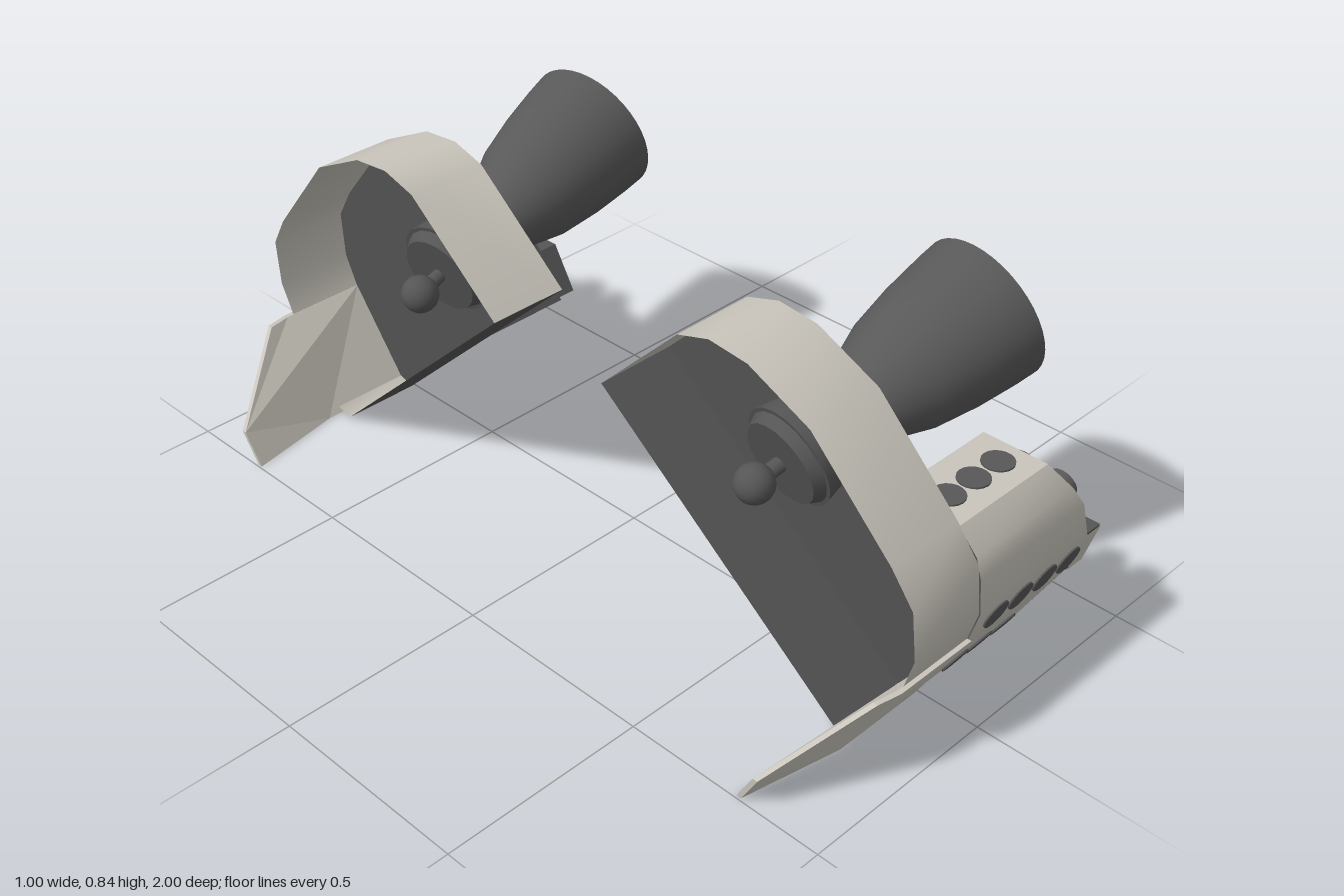
import * as THREE from 'three';
import { toCreasedNormals } from 'three/addons/utils/BufferGeometryUtils.js';

const mat = (name, color) => new THREE.MeshStandardMaterial({ name, color, side: THREE.DoubleSide });
const V = (x, y, z) => new THREE.Vector3(x, y, z);

// Surface stretched between two rows of points
function strip(a, b, crease = 0.9) {
  const pos = [], idx = [], n = a.length;
  [...a, ...b].forEach(p => pos.push(p.x, p.y, p.z));
  for (let i = 0; i < n - 1; i++) idx.push(i, i + 1, n + i, i + 1, n + i + 1, n + i);
  const g = new THREE.BufferGeometry();
  g.setAttribute('position', new THREE.Float32BufferAttribute(pos, 3));
  g.setIndex(idx);
  g.computeVertexNormals();
  return toCreasedNormals(g, crease);
}

// Shape drawn in (z, y), turned to face +x
const sideShape = pts => new THREE.Shape(pts.map(([z, y]) => new THREE.Vector2(-z, y)));

// Raked planes of the body: front rim and bulkhead
const rimX = y => -0.211 - 0.086 * y;
const bulkX = y => -0.01 - 0.086 * y;

function buildPod(light, dark, nozzleGrey) {
  const pod = new THREE.Group();
  const add = (name, geo, material) => {
    const m = new THREE.Mesh(geo, material);
    m.name = name;
    pod.add(m);
    return m;
  };
  // Cylinder placed by centre and axis
  const drum = (name, r0, r1, len, c, dir, material, sides = 20) => {
    const m = add(name, new THREE.CylinderGeometry(r1, r0, len, sides), material);
    m.position.copy(c);
    m.quaternion.setFromUnitVectors(V(0, 1, 0), dir.clone().normalize());
    return m;
  };

  // Outer shell, open toward -x
  const outline = [[0.166, 0.578], [0.40, 0.81], [0.485, 0.838], [0.585, 0.828], [0.74, 0.75],
    [0.937, 0.525], [0.99, 0.444], [0.997, 0.32], [0.967, 0.225], [0.846, 0.016], [0.80, 0]];
  add('shell', strip(outline.map(([z, y]) => V(rimX(y), y, z)),
    outline.map(([z, y]) => V(bulkX(y), y, z))), light);

  // Bulkhead and sloping mounting panel
  const wall = new THREE.ShapeGeometry(sideShape(outline)).rotateY(Math.PI / 2);
  const p = wall.attributes.position;
  for (let i = 0; i < p.count; i++) p.setX(i, bulkX(p.getY(i)));
  wall.computeVertexNormals();
  add('bulkhead', wall, dark);
  const mount = [outline[outline.length - 1], outline[0]];
  add('mountingPanel', strip(mount.map(([z, y]) => V(rimX(y), y, z)),
    mount.map(([z, y]) => V(bulkX(y), y, z))), dark);

  // Swept lower fin, a thin plate leaning inward toward its tip
  const fin = new THREE.Shape([[-0.5, 0.08], [-0.495, 0], [-0.25, 0], [-0.01, 0], [-0.03, 0.238],
    [-0.25, 0.238], [-0.308, 0.238]].map(([x, y]) => new THREE.Vector2(x, y)));
  const finGeo = new THREE.ExtrudeGeometry(fin, { depth: 0.012, bevelEnabled: false });
  const f = finGeo.attributes.position;
  for (let i = 0; i < f.count; i++) {
    const bend = Math.max(0, -f.getX(i) - 0.25) / 0.25;
    f.setZ(i, f.getZ(i) + 0.832 + 0.58 * f.getY(i) - 0.05 * bend);
  }
  finGeo.computeVertexNormals();
  add('fin', finGeo, light);

  // Thruster housing: [z, y, end x]
  const skin = [[0.78, 0.515, 0.235], [0.94, 0.515, 0.235], [0.985, 0.46, 0.27], [0.997, 0.41, 0.30],
    [1.0, 0.32, 0.325], [0.97, 0.225, 0.325], [0.86, 0.03, 0.322]];
  const inner = [[0.86, 0.03, 0.322], [0.82, 0.03, 0.322], [0.59, 0.205, 0.325],
    [0.662, 0.32, 0.325], [0.717, 0.41, 0.30], [0.78, 0.515, 0.235]];
  const prism = (pts, crease) => strip(pts.map(([z, y]) => V(bulkX(y), y, z)),
    pts.map(([z, y, x]) => V(x, y, z)), crease);
  add('housingSkin', prism(skin, 0.75), light);
  add('housingInnerSide', prism(inner, 0.4), dark);

  // Housing end: [y, x, inner z, outer z]
  const end = [[0.515, 0.235, 0.78, 0.94], [0.41, 0.30, 0.717, 0.997], [0.32, 0.325, 0.662, 1.0],
    [0.21, 0.325, 0.6, 0.962], [0.03, 0.322, 0.82, 0.86]];
  add('housingEnd', strip(end.map(([y, x, , o]) => V(x, y, o)),
    end.map(([y, x, i]) => V(x, y, i)), 0.3), dark);

  // Ledge across the housing end, with its light outer face
  const ledge = new THREE.ExtrudeGeometry(
    sideShape([[0.662, 0.32], [0.997, 0.32], [0.963, 0.21], [0.597, 0.21]]),
    { depth: 0.055, bevelEnabled: false }).rotateY(Math.PI / 2).translate(0.32, 0, 0);
  add('endLedge', ledge, dark);
  add('ledgeSkin', strip([V(0.32, 0.32, 1.0), V(0.32, 0.21, 0.966)],
    [V(0.375, 0.32, 1.0), V(0.375, 0.21, 0.966)]), light);

  // Thruster ports: rows on the top, side and lower faces
  const ports = [
    [[0.01, 0.09, 0.17], 0.515, 0.865, V(0, 1, 0)],
    [[0.042, 0.124, 0.206, 0.288], 0.267, 0.983, V(0, -0.3, 0.954)],
    [[0.075, 0.157, 0.24], 0.06, 0.877, V(0, -0.49, 0.87)],
  ];
  for (const [xs, y, z, dir] of ports)
    for (const x of xs) drum('thrusterPort', 0.036, 0.036, 0.008, V(x, y, z), dir, nozzleGrey, 18);

  // Two small end thrusters
  for (const z of [0.805, 0.90])
    drum('endThruster', 0.034, 0.036, 0.09, V(0.325, 0.37, z), V(1, 0.26, 0), nozzleGrey, 16);

  // Main engine bell, its collar and the gimbal behind the bulkhead
  const axis = V(0.955, 0.27, 0.12).normalize();
  const exit = V(0.452, 0.643, 0.603);
  const at = s => exit.clone().addScaledVector(axis, s);
  const profile = [[0.028, -0.475], [0.042, -0.46], [0.07, -0.42], [0.103, -0.35], [0.137, -0.26],
    [0.158, -0.15], [0.17, -0.05], [0.174, 0], [0.168, 0], [0.164, -0.05], [0.152, -0.15],
    [0.131, -0.26], [0.097, -0.35], [0.064, -0.42], [0.03, -0.46], [0, -0.46]]
    .map(([r, s]) => new THREE.Vector2(r, s));
  const bell = add('engineBell', toCreasedNormals(new THREE.LatheGeometry(profile, 40), 0.8), nozzleGrey);
  bell.position.copy(exit);
  bell.quaternion.setFromUnitVectors(V(0, 1, 0), axis);
  drum('engineCollar', 0.122, 0.10, 0.11, at(-0.51), axis, dark);
  drum('engineThroat', 0.06, 0.045, 0.05, at(-0.455), axis, dark);
  drum('gimbalPlate', 0.10, 0.115, 0.03, at(-0.575), axis, dark);
  drum('gimbalRod', 0.018, 0.018, 0.09, at(-0.62), axis, dark, 10);
  add('gimbalBall', new THREE.SphereGeometry(0.045, 18, 12), dark).position.copy(at(-0.66));
  return pod;
}

export function createModel() {
  const light = mat('warm white skin', 0xc9c5bc);
  const dark = mat('dark grey structure', 0x555555);
  const nozzleGrey = mat('nozzle grey', 0x585858);
  const model = new THREE.Group();
  model.name = 'enginePods';
  // Mirrored pair
  for (const side of [1, -1]) {
    const pod = buildPod(light, dark, nozzleGrey);
    pod.name = side > 0 ? 'frontPod' : 'rearPod';
    pod.scale.z = side;
    model.add(pod);
  }
  return model;
}
